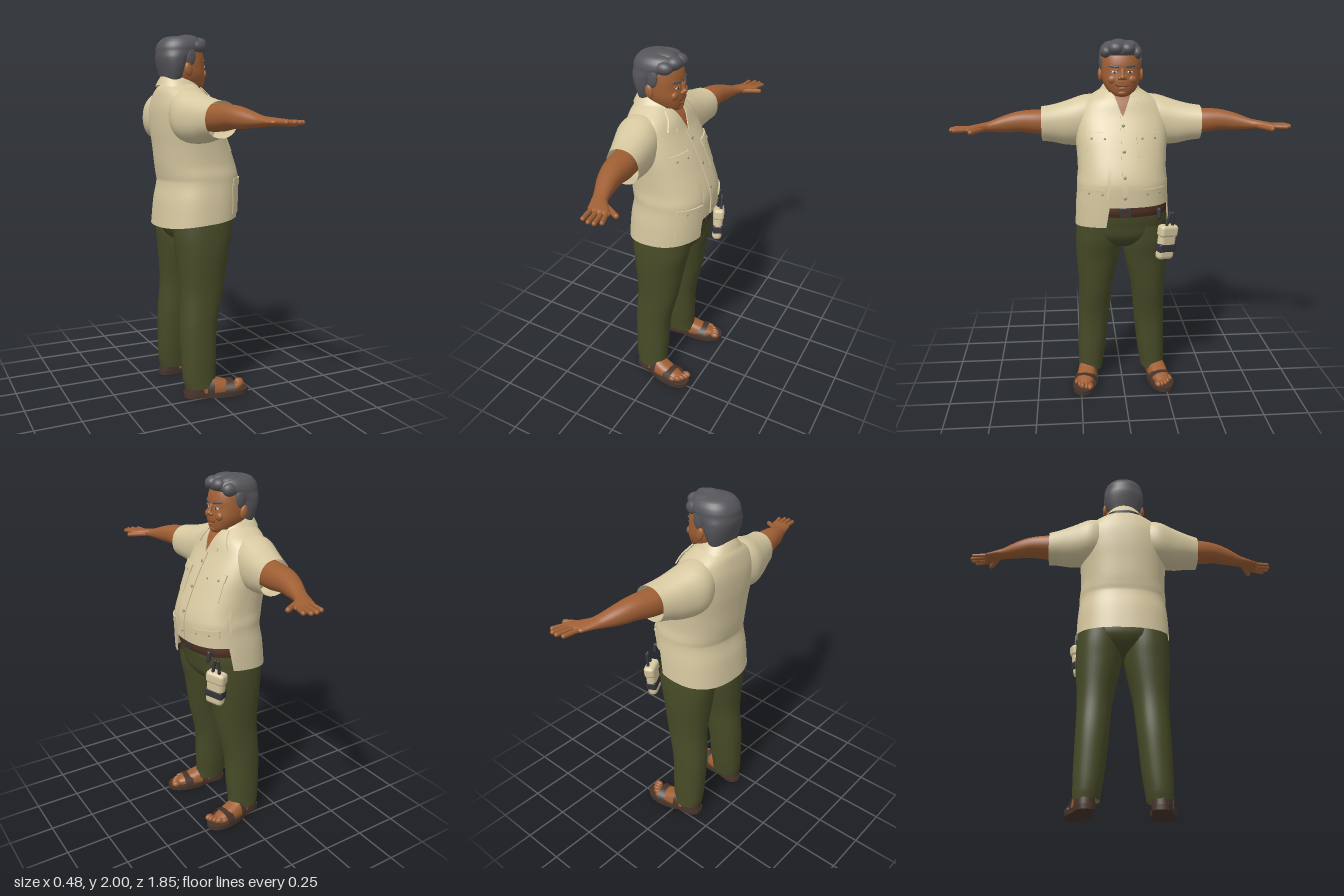
import * as THREE from 'three';
import { RoundedBoxGeometry } from 'three/addons/geometries/RoundedBoxGeometry.js';

const V = (x, y, z) => new THREE.Vector3(x, y, z);
const mat = (name, color, side = THREE.FrontSide) => {
  const m = new THREE.MeshStandardMaterial({ color, side });
  m.name = name;
  return m;
};

// Smooth interpolation of section rows [t, c1, c2, r1, r2] at t
function section(rows, t) {
  let i = 0;
  while (i < rows.length - 2 && t > rows[i + 1][0]) i++;
  const slope = (k, c) => {
    const a = rows[Math.max(k - 1, 0)], b = rows[Math.min(k + 1, rows.length - 1)];
    return (b[c] - a[c]) / (b[0] - a[0]);
  };
  const a = rows[i], b = rows[i + 1], h = b[0] - a[0];
  const u = THREE.MathUtils.clamp((t - a[0]) / h, 0, 1), u2 = u * u, u3 = u2 * u;
  return [1, 2, 3, 4].map((c) => {
    const v = (2 * u3 - 3 * u2 + 1) * a[c] + (u3 - 2 * u2 + u) * h * slope(i, c)
      + (3 * u2 - 2 * u3) * b[c] + (u3 - u2) * h * slope(i + 1, c);
    return c > 2 ? Math.max(v, 0) : v;
  });
}
const sp = (v, n) => Math.sign(v) * Math.abs(v) ** (2 / n);

// Superellipse loft upwards (axis y) or outwards along an arm (axis z, side s)
function loft(rows, { axis = 'y', s = 1, n = 2.2, seg = 36, lo = null } = {}) {
  const pos = [], idx = [], K = 5, R = (rows.length - 1) * K;
  const t0 = rows[0][0], t1 = rows[rows.length - 1][0];
  for (let j = 0; j <= R; j++) {
    const i = Math.min(Math.floor(j / K), rows.length - 2), f = j / K - i;
    const base = rows[i][0] + (rows[i + 1][0] - rows[i][0]) * f;
    for (let k = 0; k < seg; k++) {
      const a = (k / seg) * Math.PI * 2;
      const l = lo ? lo(a) : t0, t = l + (base - t0) * (t1 - l) / (t1 - t0);
      const [c1, c2, r1, r2] = section(rows, t);
      const p = c1 + r1 * sp(Math.cos(a), n), q = c2 + r2 * sp(Math.sin(a), n);
      if (axis === 'y') pos.push(p, t, q); else pos.push(p, q, s * t);
      if (j < R) {
        const A = j * seg + k, B = j * seg + (k + 1) % seg, C = A + seg, D = B + seg;
        if (axis === 'z' && s > 0) idx.push(A, B, C, B, D, C);
        else idx.push(A, C, B, B, C, D);
      }
    }
  }
  const g = new THREE.BufferGeometry();
  g.setAttribute('position', new THREE.Float32BufferAttribute(pos, 3));
  g.setIndex(idx);
  g.computeVertexNormals();
  return g;
}
// Front (+x) of a vertical loft at a given height and sideways position
function frontX(rows, y, z, n) {
  const [cx, cz, rx, rz] = section(rows, y);
  const w = Math.min(Math.abs((z - cz) / rz), 0.985);
  return cx + rx * (1 - w ** n) ** (1 / n);
}

const TORSO = [
  [0.95, -0.01, 0, 0.225, 0.265], [1.1, 0.002, 0, 0.222, 0.26], [1.2, 0.013, 0, 0.214, 0.252],
  [1.24, 0.01, 0, 0.217, 0.252], [1.3, -0.002, 0, 0.214, 0.246], [1.4, -0.027, 0, 0.198, 0.25],
  [1.5, -0.055, 0, 0.18, 0.258], [1.6, -0.083, 0, 0.153, 0.25], [1.67, -0.092, 0, 0.132, 0.205],
  [1.71, -0.1, 0, 0.11, 0.145], [1.74, -0.1, 0, 0.08, 0.095]];
const HEAD = [
  [1.685, 0, 0, 0, 0], [1.692, -0.01, 0, 0.033, 0.032], [1.71, -0.025, 0, 0.065, 0.06],
  [1.74, -0.045, 0, 0.093, 0.085], [1.78, -0.055, 0, 0.106, 0.102], [1.83, -0.065, 0, 0.11, 0.108],
  [1.87, -0.07, 0, 0.115, 0.108], [1.92, -0.075, 0, 0.105, 0.102], [1.96, -0.06, 0, 0.06, 0.07]];
const NT = 2.35, NH = 2.25;

export function createModel() {
  const root = new THREE.Group();
  root.name = 'standingMan';
  const skin = mat('skin', 0x9f5f34), shirt = mat('shirt cream', 0xd6c8a0, THREE.DoubleSide);
  const pants = mat('trouser green', 0x474b27, THREE.DoubleSide), hair = mat('hair grey', 0x56555a);
  const brown = mat('sandal brown', 0x46342b, THREE.DoubleSide), belt = mat('belt brown', 0x4b2e22);
  const dark = mat('dark grey', 0x36363b), white = mat('eye white', 0xd9cfc4);
  const tan = mat('button tan', 0xaa9c78), lip = mat('lip brown', 0x74402a);

  const add = (name, geo, m, parent = root) => {
    const o = new THREE.Mesh(geo, m);
    o.name = name;
    parent.add(o);
    return o;
  };
  const ball = (name, m, p, r, parent = root) => {
    const o = add(name, new THREE.SphereGeometry(1, 20, 14), m, parent);
    o.position.set(...p);
    o.scale.set(...r);
    return o;
  };
  const rod = (name, m, a, b, r, parent = root) => {
    const d = b.clone().sub(a), o = add(name, new THREE.CapsuleGeometry(r, d.length(), 5, 10), m, parent);
    o.position.copy(a).addScaledVector(d, 0.5);
    o.quaternion.setFromUnitVectors(V(0, 1, 0), d.normalize());
    return o;
  };
  // Thin cloth panel laid on the shirt front; corners [z, y]: low left, low right, top right, top left
  const panel = (name, m, c, lift, thick = 0.008, s = 1) => {
    if (s < 0) c = [c[1], c[0], c[3], c[2]].map(([z, y]) => [-z, y]);
    const g = new THREE.BoxGeometry(1, 1, 1, 10, 10, 1), p = g.attributes.position;
    for (let i = 0; i < p.count; i++) {
      const u = p.getX(i) + 0.5, v = p.getY(i) + 0.5;
      const mix = (k) => (c[0][k] * (1 - u) + c[1][k] * u) * (1 - v) + (c[3][k] * (1 - u) + c[2][k] * u) * v;
      const z = mix(0), y = mix(1);
      p.setXYZ(i, frontX(TORSO, y, z, NT) + lift + p.getZ(i) * thick, y, z);
    }
    g.computeVertexNormals();
    return add(name, g, m);
  };

  // Shirt body: long at the back and one side, short over the belt buckle
  const hem = (a) => {
    const c = Math.cos(a), z = 0.26 * sp(Math.sin(a), NT);
    return c > 0.3 && z < 0.09 ? 1.125 : 0.983 + 0.03 * c;
  };
  add('shirtBody', loft(TORSO, { n: NT, seg: 96, lo: hem }), shirt);
  panel('placket', shirt, [[0.014, 1.13], [-0.014, 1.13], [-0.014, 1.61], [0.014, 1.61]], 0.002);
  for (const y of [1.18, 1.29, 1.42, 1.55])
    ball('shirtButton', tan, [frontX(TORSO, y, 0, NT) + 0.007, y, 0], [0.005, 0.009, 0.009]);
  panel('chestSkin', skin, [[0.002, 1.6], [-0.002, 1.6], [-0.058, 1.72], [0.058, 1.72]], 0.003);
  const collar = loft([[1.695, -0.085, 0, 0.135, 0.135], [1.73, -0.09, 0, 0.115, 0.11], [1.765, -0.09, 0, 0.095, 0.085]],
    { lo: (a) => (Math.cos(a) > 0.7 ? 1.764 : 1.695), seg: 48 });
  collar.applyMatrix4(new THREE.Matrix4().makeShear(-0.25, 0, 0, 0, 0, 0)).translate(0, -0.0225, 0);
  collar.computeVertexNormals();
  add('collarBand', collar, shirt);

  for (const s of [1, -1]) {
    // Collar points, pockets and sleeves
    panel('collarPoint', shirt, [[0.155, 1.63], [0.085, 1.635], [0.05, 1.722], [0.095, 1.715]], 0.012, 0.008, s);
    panel('lapel', shirt, [[0.09, 1.615], [0.002, 1.595], [0.05, 1.72], [0.075, 1.7]], 0.008, 0.008, s);
    panel('chestPocket', shirt, [[0.195, 1.37], [0.075, 1.37], [0.075, 1.5], [0.195, 1.5]], 0.001, 0.006, s);
    panel('chestPocketFlap', shirt, [[0.2, 1.475], [0.07, 1.475], [0.07, 1.515], [0.2, 1.515]], 0.005, 0.009, s);
    panel('lowerPocketFlap', shirt, [[0.225, 1.185], [0.1, 1.185], [0.1, 1.225], [0.225, 1.225]], 0.005, 0.009, s);
    for (const [y, z] of [[1.485, 0.1], [1.485, 0.17], [1.2, 0.12], [1.2, 0.19]])
      ball('pocketButton', tan, [frontX(TORSO, y, z, NT) + 0.009, y, z * s], [0.005, 0.007, 0.007]);
    add('sleeve', loft([[0.1, -0.1, 1.58, 0.1, 0.12], [0.2, -0.105, 1.56, 0.122, 0.138], [0.3, -0.085, 1.545, 0.112, 0.123],
      [0.38, -0.065, 1.545, 0.1, 0.103], [0.44, -0.05, 1.546, 0.092, 0.094]], { axis: 'z', s }), shirt);

    // Bare arm with flat palm, fingers and thumb
    add('arm', loft([[0.3, -0.07, 1.553, 0.07, 0.07], [0.45, -0.052, 1.555, 0.072, 0.068], [0.55, -0.038, 1.56, 0.062, 0.058],
      [0.63, -0.02, 1.552, 0.052, 0.048], [0.72, 0.012, 1.541, 0.04, 0.028], [0.76, 0.033, 1.54, 0.046, 0.022],
      [0.8, 0.058, 1.538, 0.056, 0.018], [0.83, 0.072, 1.537, 0.052, 0.013], [0.84, 0.075, 1.537, 0, 0]], { axis: 'z', s }), skin);
    [[0.03, 0.04, 0.9], [0.06, 0.075, 0.912], [0.087, 0.105, 0.91], [0.108, 0.132, 0.89]].forEach(([x0, x1, z]) =>
      rod('finger', skin, V(x0, 1.538, 0.815 * s), V(x1, 1.538, z * s), 0.0115));
    rod('thumb', skin, V(0.06, 1.533, 0.755 * s), V(0.148, 1.53, 0.805 * s), 0.0135);

    // Trouser leg
    add('trouserLeg', loft([[0.055, -0.05, 0.19, 0.09, 0.071], [0.1, -0.055, 0.186, 0.094, 0.074], [0.2, -0.055, 0.178, 0.1, 0.082],
      [0.4, -0.052, 0.165, 0.107, 0.09], [0.6, -0.025, 0.153, 0.124, 0.098], [0.8, -0.017, 0.138, 0.148, 0.125],
      [0.9, -0.01, 0.134, 0.165, 0.129], [1.0, -0.006, 0.13, 0.17, 0.127]].map(([y, x, z, a, b]) => [y, x, z * s, a, b])), pants);

    // Foot in an open sandal, toes turned out
    const foot = new THREE.Group();
    foot.name = 'foot';
    foot.position.set(-0.05, 0, 0.2 * s);
    foot.rotation.y = -0.17 * s;
    root.add(foot);
    const outline = new THREE.Shape();
    outline.moveTo(-0.1, 0);
    outline.bezierCurveTo(-0.1, 0.06, -0.04, 0.05, 0.03, 0.053);
    outline.bezierCurveTo(0.12, 0.09, 0.275, 0.075, 0.275, 0);
    outline.bezierCurveTo(0.275, -0.075, 0.12, -0.09, 0.03, -0.053);
    outline.bezierCurveTo(-0.04, -0.05, -0.1, -0.06, -0.1, 0);
    const sole = new THREE.ExtrudeGeometry(outline, { depth: 0.026, bevelEnabled: false, curveSegments: 14 });
    add('sandalSole', sole.rotateX(-Math.PI / 2), brown, foot);
    add('footSkin', loft([[0.024, 0.08, 0, 0.155, 0.055], [0.045, 0.078, 0, 0.152, 0.056], [0.07, 0.05, 0, 0.12, 0.051],
      [0.1, 0.005, 0, 0.075, 0.043], [0.14, -0.01, 0, 0.055, 0.042], [0.2, -0.01, 0, 0.05, 0.042]]), skin, foot);
    for (let i = 0; i < 5; i++)
      ball('toe', skin, [0.238 - i * i * 0.0035, 0.042, s * (-0.042 + i * 0.022)],
        [0.026, 0.018 - i * 0.0012, i ? 0.0115 : 0.017], foot);
    for (const [x, len, h, w] of [[0.155, 0.055, 0.055, 0.068], [0.045, 0.04, 0.088, 0.06]]) {
      const strap = new THREE.CylinderGeometry(1, 1.08, len, 20, 1, true, 0, Math.PI);
      strap.rotateZ(Math.PI / 2).rotateX(Math.PI / 2);
      if (strap.attributes.position.getY(5) < 0) strap.rotateX(Math.PI);
      strap.computeBoundingBox();
      if (strap.boundingBox.min.y < -0.5) strap.rotateX(strap.boundingBox.max.z > 0.5 ? -Math.PI / 2 : Math.PI / 2);
      strap.scale(1, h, w);
      add('sandalStrap', strap, brown, foot).position.set(x, 0.022, 0);
    }
    add('heelStrap', loft([[0.02, -0.02, 0, 0.075, 0.055], [0.075, -0.022, 0, 0.068, 0.051]]), brown, foot);

    // Face: ear, eye, brow and cheek
    const onFace = (y, z, d = 0) => [frontX(HEAD, y, z, NH) + d, y, z * s];
    ball('ear', skin, [-0.085, 1.81, 0.113 * s], [0.022, 0.036, 0.013]).rotation.z = 0.2;
    ball('eyeWhite', white, onFace(1.828, 0.042, -0.001), [0.005, 0.008, 0.016]).rotation.y = -0.2 * s;
    ball('iris', dark, onFace(1.828, 0.041, 0.002), [0.004, 0.007, 0.007]);
    rod('upperEyelid', skin, V(...onFace(1.838, 0.026, 0)), V(...onFace(1.836, 0.06, 0)), 0.005);
    rod('eyebrow', hair, V(...onFace(1.856, 0.024, 0.001)), V(...onFace(1.86, 0.066, 0.001)), 0.006);
    ball('cheek', skin, onFace(1.788, 0.05, -0.012), [0.018, 0.024, 0.028]);
    ball('noseWing', skin, onFace(1.797, 0.014, 0.003), [0.012, 0.01, 0.011]);
  }
  panel('hipPocket', shirt, [[0.23, 1.03], [0.1, 1.02], [0.1, 1.19], [0.23, 1.19]], 0.002, 0.008);

  // Head, neck and remaining face
  add('neck', loft([[1.6, -0.09, 0, 0.075, 0.07], [1.7, -0.075, 0, 0.078, 0.075], [1.78, -0.07, 0, 0.07, 0.075]]), skin);
  add('head', loft(HEAD, { n: NH, seg: 40 }), skin);
  rod('noseBridge', skin, V(0.042, 1.84, 0), V(0.054, 1.806, 0), 0.011);
  ball('noseTip', skin, [0.057, 1.802, 0], [0.016, 0.014, 0.016]);
  ball('chin', skin, [0.026, 1.717, 0], [0.022, 0.018, 0.032]);
  const smile = [-0.04, -0.02, 0, 0.02, 0.04].map((z) => {
    const y = 1.754 + 6 * z * z;
    return V(frontX(HEAD, y, z, NH) + 0.001, y, z);
  });
  add('mouth', new THREE.TubeGeometry(new THREE.CatmullRomCurve3(smile), 20, 0.004, 8), lip);
  ball('lowerLip', skin, [0.047, 1.743, 0], [0.008, 0.007, 0.022]);

  // Hair: cap swept back with wavy locks over the forehead
  add('hairCap', loft([[1.715, -0.15, 0, 0, 0], [1.725, -0.15, 0, 0.035, 0.06], [1.76, -0.14, 0, 0.05, 0.092],
    [1.82, -0.138, 0, 0.07, 0.113], [1.87, -0.13, 0, 0.09, 0.118], [1.905, -0.1, 0, 0.12, 0.117], [1.93, -0.088, 0, 0.13, 0.117],
    [1.96, -0.085, 0, 0.117, 0.105], [1.985, -0.085, 0, 0.08, 0.072], [1.995, -0.085, 0, 0, 0]], { seg: 40 }), hair);
  for (const [x, y, z, a, b, c] of [[0.012, 1.95, 0.03, 0.045, 0.036, 0.045], [0.015, 1.947, -0.03, 0.04, 0.034, 0.04],
    [-0.02, 1.932, 0.08, 0.05, 0.034, 0.035], [-0.02, 1.925, -0.082, 0.045, 0.036, 0.03], [-0.05, 1.968, 0.015, 0.075, 0.032, 0.05],
    [-0.06, 1.962, -0.05, 0.075, 0.03, 0.04], [-0.07, 1.88, 0.106, 0.03, 0.05, 0.013], [-0.07, 1.88, -0.106, 0.03, 0.05, 0.013]])
    ball('hairLock', hair, [x, y, z], [a, b, c]);

  // Hips, belt and buckle
  add('trouserSeat', loft([[0.84, 0, 0, 0, 0], [0.87, -0.01, 0, 0.11, 0.12], [0.93, -0.008, 0, 0.17, 0.235], [1.0, -0.004, 0, 0.184, 0.257],
    [1.07, 0, 0, 0.192, 0.25], [1.15, 0, 0, 0.19, 0.235]], { seg: 48 }), pants);
  add('belt', loft([[1.065, 0.004, 0, 0.196, 0.252], [1.09, 0.005, 0, 0.203, 0.252], [1.125, 0.004, 0, 0.203, 0.246]], { seg: 48 }), belt);
  add('buckle', new RoundedBoxGeometry(0.014, 0.052, 0.065, 2, 0.005), dark).position.set(0.208, 1.095, -0.005);
  add('bucklePlate', new THREE.BoxGeometry(0.006, 0.03, 0.038), belt).position.set(0.214, 1.095, -0.005);

  // Pouch hanging from the belt
  const pouch = new THREE.Group();
  pouch.name = 'beltPouch';
  pouch.position.set(0.165, 0.91, -0.235);
  pouch.rotation.set(-0.12, 0.45, 0);
  root.add(pouch);
  add('pouchBody', new RoundedBoxGeometry(0.055, 0.2, 0.105, 4, 0.024), shirt, pouch);
  add('pouchFlap', new RoundedBoxGeometry(0.064, 0.07, 0.113, 3, 0.02), shirt, pouch).position.y = 0.065;
  add('pouchBand', new RoundedBoxGeometry(0.06, 0.052, 0.11, 2, 0.012), dark, pouch).position.y = -0.03;
  for (const z of [-0.022, 0.022]) rod('pouchStrap', dark, V(0.01, 0.09, z), V(0.012, 0.17, z * 0.4), 0.009, pouch);
  rod('beltClip', dark, V(0.185, 1.06, -0.19), V(0.18, 1.1, -0.19), 0.013);
  return root;
}
